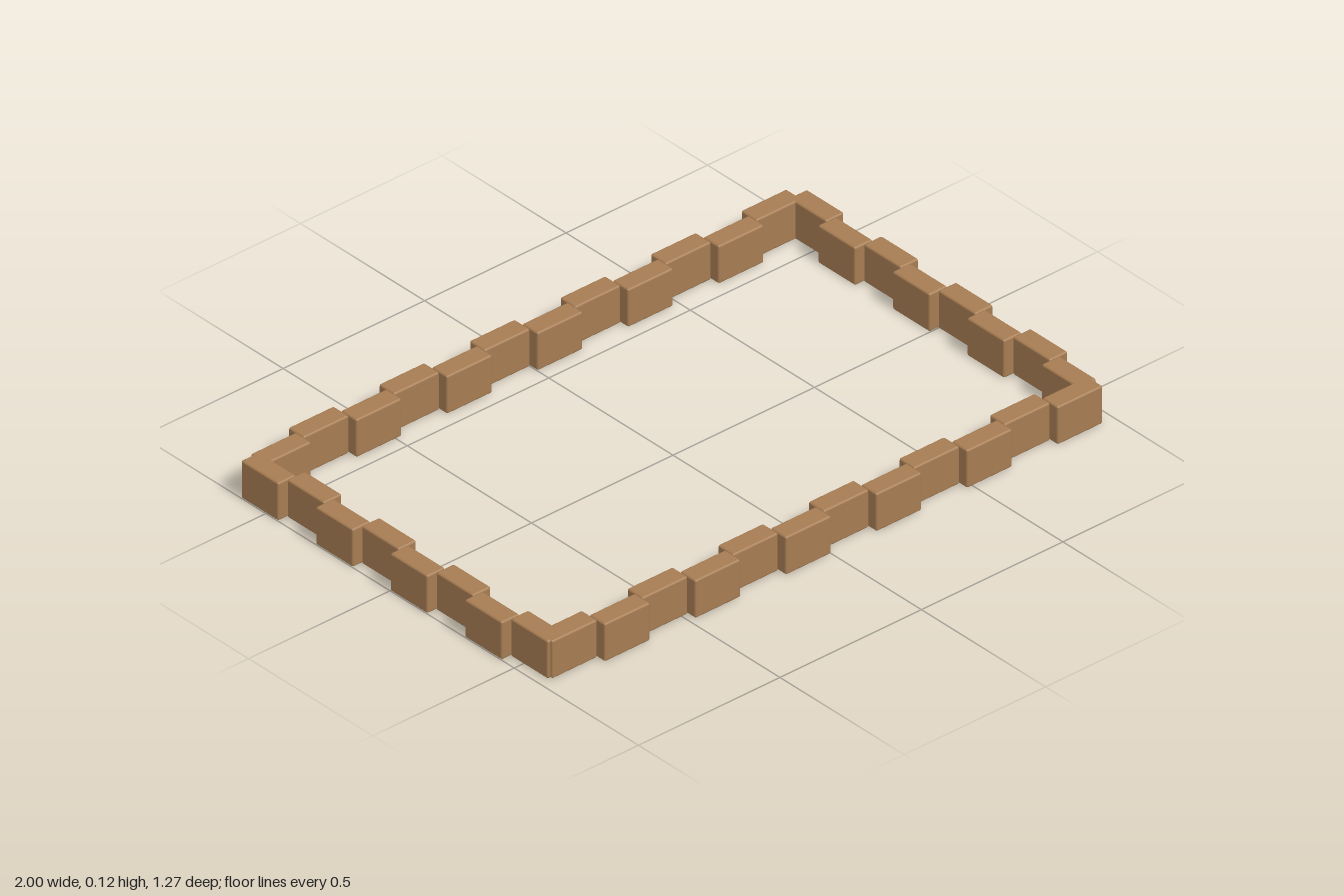
import * as THREE from 'three';
import { RoundedBoxGeometry } from 'three/addons/geometries/RoundedBoxGeometry.js';

const HEIGHT = 0.12, DEPTH = 0.063, BEVEL = 0.006;

export function createModel() {
  const model = new THREE.Group();
  model.name = 'blockBorder';
  const wood = new THREE.MeshStandardMaterial({ color: 0xa67c52 });
  wood.name = 'warm brown';

  // One straight run of blocks stepping in and out by half a block's depth
  function addRun(name, count, pitch, geometry, place) {
    const run = new THREE.Group();
    run.name = name;
    for (let i = 0; i < count; i++) {
      const block = new THREE.Mesh(geometry, wood);
      block.name = 'block';
      place(block.position, (i - (count - 1) / 2) * pitch, i % 2);
      run.add(block);
    }
    model.add(run);
  }

  const longBlock = new RoundedBoxGeometry(0.16, HEIGHT, DEPTH, 2, BEVEL);
  const shortBlock = new RoundedBoxGeometry(DEPTH, HEIGHT, 0.15, 2, BEVEL);

  // Front and back runs: odd blocks stand outward
  for (const [name, side] of [['frontRun', 1], ['backRun', -1]]) {
    addRun(name, 12, 0.16, longBlock, (p, along, odd) =>
      p.set(along, HEIGHT / 2, side * (odd ? 0.606 : 0.576)));
  }

  // Left and right runs: even blocks stand outward
  for (const [name, side] of [['leftRun', 1], ['rightRun', -1]]) {
    addRun(name, 8, 0.15, shortBlock, (p, along, odd) =>
      p.set(side * (odd ? 0.938 : 0.9685), HEIGHT / 2, along));
  }
  return model;
}
